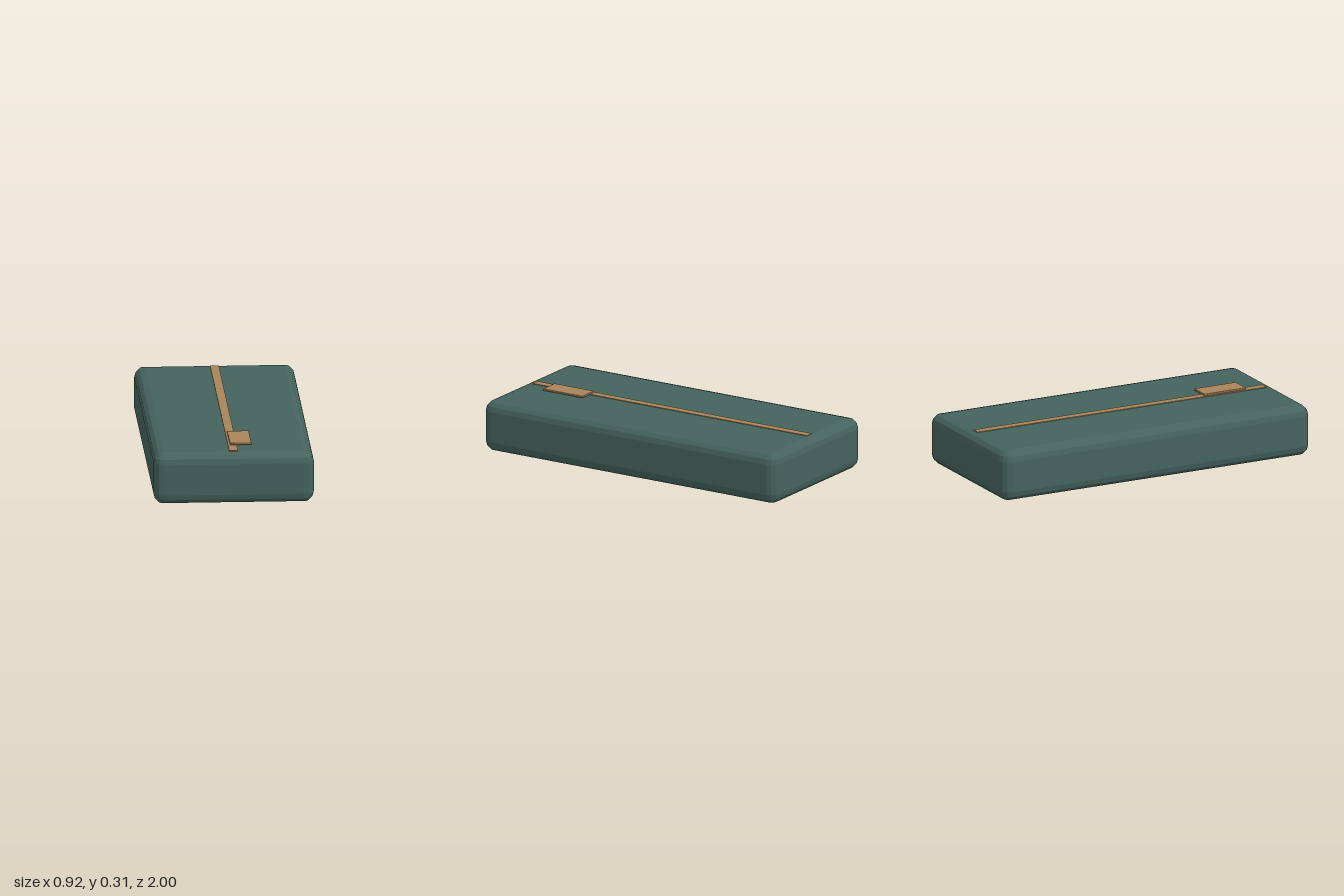
import * as THREE from 'three';
import { RoundedBoxGeometry } from 'three/addons/geometries/RoundedBoxGeometry.js';

// Box with bevelled edges, lofted from rounded-rectangle rings, bottom to top
function bevelledBox(w, h, d, r, steps) {
  const pos = [], index = [], n = 4 * (steps + 1), rings = 2 * (steps + 1);
  for (let j = 0; j < rings; j++) {
    const upper = j > steps;
    const lat = (upper ? j - steps - 1 : j - steps) / steps * Math.PI / 2;
    const y = (upper ? h - r : r) + r * Math.sin(lat);
    const out = r * Math.cos(lat);
    for (let q = 0; q < 4; q++) {
      const sx = q === 0 || q === 3 ? 1 : -1, sz = q < 2 ? 1 : -1;
      for (let k = 0; k <= steps; k++) {
        const a = (q + k / steps) * Math.PI / 2;
        pos.push(sx * (w / 2 - r) + out * Math.cos(a), y, sz * (d / 2 - r) + out * Math.sin(a));
      }
    }
  }
  for (let j = 0; j < rings - 1; j++) {
    for (let i = 0; i < n; i++) {
      const a = j * n + i, b = j * n + (i + 1) % n;
      index.push(a, a + n, b, b, a + n, b + n);
    }
  }
  // Flat caps between the four corner points of the end rings
  const c = [0, 1, 2, 3].map(q => q * (steps + 1)), top = (rings - 1) * n;
  index.push(c[0], c[1], c[2], c[0], c[2], c[3]);
  index.push(top + c[0], top + c[2], top + c[1], top + c[0], top + c[3], top + c[2]);
  const g = new THREE.BufferGeometry();
  g.setAttribute('position', new THREE.Float32BufferAttribute(pos, 3));
  g.setIndex(index);
  const flat = g.toNonIndexed();
  flat.computeVertexNormals();
  return flat;
}

export function createModel() {
  const group = new THREE.Group();
  group.name = 'zippedCase';
  const green = new THREE.MeshStandardMaterial({ color: 0x45635d });
  green.name = 'darkGreen';
  const tan = new THREE.MeshStandardMaterial({ color: 0xa8855a });
  tan.name = 'tan';

  const add = (name, geometry, material, x, y, z) => {
    const mesh = new THREE.Mesh(geometry, material);
    mesh.name = name;
    mesh.position.set(x, y, z);
    group.add(mesh);
  };

  // Padded body
  add('body', bevelledBox(0.92, 0.3, 2, 0.06, 3), green, 0, 0, 0);
  // Zip strip along the top
  add('zipStrip', new THREE.BoxGeometry(0.05, 0.008, 1.875), tan, 0, 0.3, 0);
  // Pull tab lying beside the strip
  add('pullTab', new RoundedBoxGeometry(0.125, 0.012, 0.27, 2, 0.004), tan, 0.048, 0.309, 0.675);
  return group;
}
